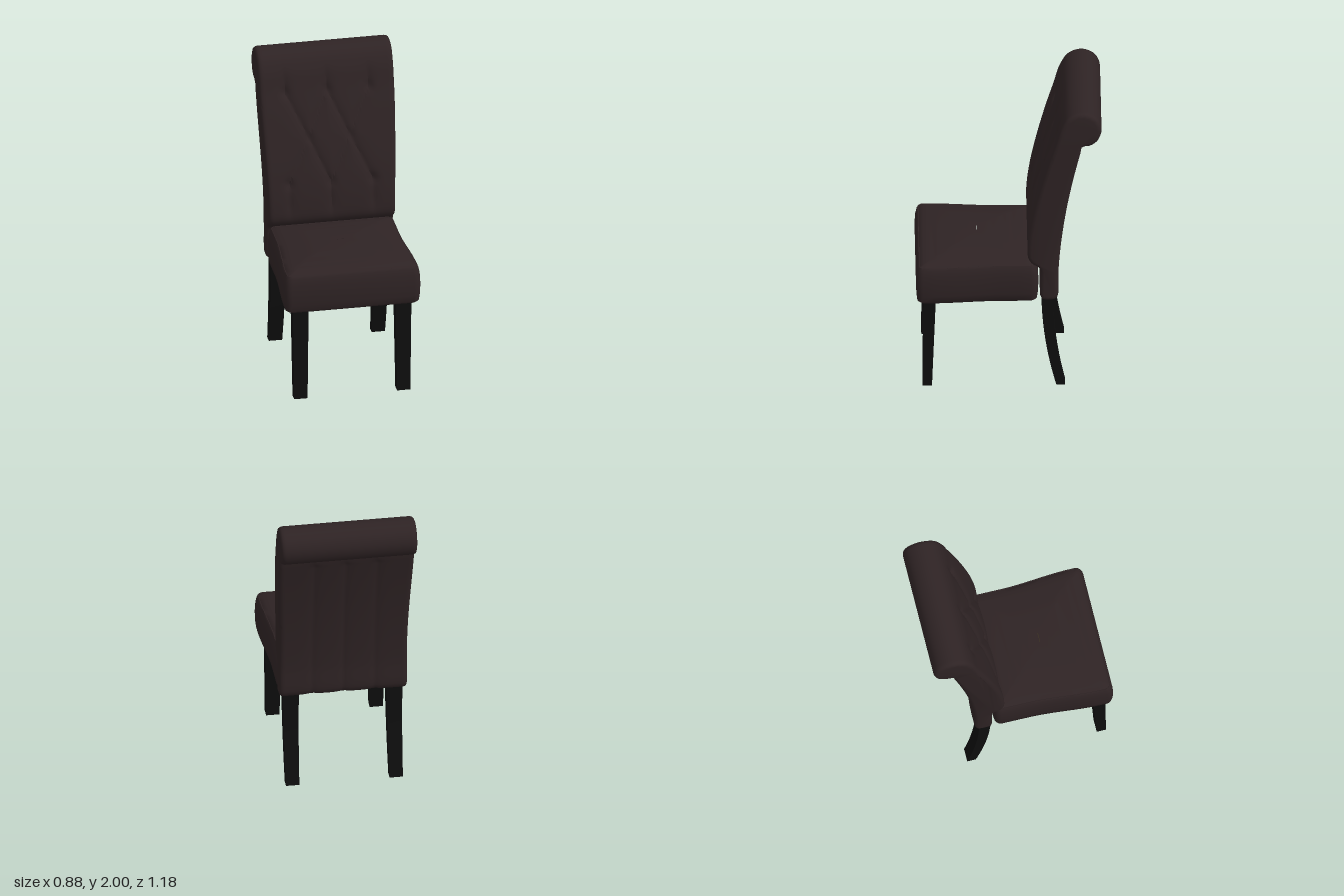
import * as THREE from 'three';
import { toCreasedNormals } from 'three/addons/utils/BufferGeometryUtils.js';

const { lerp, smoothstep } = THREE.MathUtils;
const V = (x, y, z) => new THREE.Vector3(x, y, z);

// Skin closed rings of equal length; optional flat end caps, given as [z, y] outlines.
function loft(rings, capOutlines) {
  const n = rings[0].length, pos = [], idx = [];
  rings.forEach(r => r.forEach(p => pos.push(p.x, p.y, p.z)));
  for (let i = 0; i < rings.length - 1; i++) {
    for (let j = 0; j < n; j++) {
      const a = i * n + j, b = i * n + (j + 1) % n;
      idx.push(a, b, b + n, a, b + n, a + n);
    }
  }
  if (capOutlines) {
    const last = (rings.length - 1) * n;
    const flat = rings[0].map(p => new THREE.Vector2(-p.z, p.y));
    for (const [a, b, c] of THREE.ShapeUtils.triangulateShape(flat, [])) {
      idx.push(last + a, last + b, last + c, a, c, b);
    }
  }
  const g = new THREE.BufferGeometry();
  g.setAttribute('position', new THREE.Float32BufferAttribute(pos, 3));
  g.setIndex(idx);
  return toCreasedNormals(g, 0.7);
}

// Seat plan outline, inset by d: a rounded trapezoid, wider at the front.
function seatRing(d, y) {
  const r = Math.max(0.045 - d * 0.5, 0.003), z0 = -0.19 + d, z1 = 0.587 - d;
  const half = z => Math.max(0.412 + 0.028 * smoothstep(z, 0.05, 0.5) - d, 0.004);
  const plan = [];
  const corner = (sx, zc, start) => {
    for (let k = 0; k <= 5; k++) {
      const a = start + (k / 5) * Math.PI / 2;
      plan.push([sx, Math.cos(a), zc - r * Math.sin(a)]);
    }
  };
  const side = (sx, from, to) => {
    for (let k = 1; k < 10; k++) plan.push([sx, sx, lerp(from, to, k / 10)]);
  };
  side(1, z1 - r, z0 + r);
  corner(1, z0 + r, 0);
  corner(-1, z0 + r, Math.PI / 2);
  side(-1, z0 + r, z1 - r);
  corner(-1, z1 - r, Math.PI);
  corner(1, z1 - r, Math.PI * 1.5);
  return plan.map(([sx, c, z]) => {
    const h = half(z), rr = Math.min(r, h);
    return V(sx * (h - rr) + rr * c, y, z);
  });
}

// Backrest side profile as [z, y], from the scroll over the front and up the back.
const PROFILE = [
  [-0.48, 2.0], [-0.39, 1.972], [-0.335, 1.89], [-0.295, 1.76], [-0.245, 1.6], [-0.19, 1.4],
  [-0.145, 1.2], [-0.122, 1.02], [-0.125, 0.93], [-0.15, 0.89], [-0.195, 0.86], [-0.2, 0.75],
  [-0.202, 0.655], [-0.215, 0.635], [-0.295, 0.635], [-0.312, 0.655], [-0.318, 0.85],
  [-0.335, 1.05], [-0.37, 1.3], [-0.415, 1.53], [-0.455, 1.7], [-0.47, 1.757], [-0.51, 1.762],
  [-0.565, 1.8], [-0.59, 1.88], [-0.56, 1.96],
];

// Tufting: button points and the creases joining them.
const BUTTONS = [];
for (const x of [-0.27, 0, 0.27]) BUTTONS.push([x, 1.75], [x, 1.17]);
BUTTONS.push([-0.133, 1.46], [0.133, 1.46]);
const CREASES = [];
for (const s of [-1, 1]) {
  for (const x of [0, 0.27]) {
    for (const y of [1.17, 1.75]) CREASES.push([s * x, y, s * 0.133, 1.46]);
  }
}
for (const x of [-0.27, 0, 0.27]) CREASES.push([x, 1.17, x, 0.85], [x, 1.75, x, 1.95]);

function tuftDepth(x, y) {
  let near = 1;
  for (const [ax, ay, bx, by] of CREASES) {
    const dx = bx - ax, dy = by - ay;
    const t = THREE.MathUtils.clamp(((x - ax) * dx + (y - ay) * dy) / (dx * dx + dy * dy), 0, 1);
    near = Math.min(near, Math.hypot(x - ax - t * dx, y - ay - t * dy));
  }
  let depth = 0.017 * Math.exp(-near / 0.03);
  for (const [bx, by] of BUTTONS) {
    depth += 0.014 * Math.exp(-((x - bx) ** 2 + (y - by) ** 2) / 0.0008);
  }
  return depth * smoothstep(y, 0.9, 1.05) * (1 - smoothstep(y, 1.78, 1.93));
}

function backrestGeometry() {
  const curve = new THREE.CatmullRomCurve3(PROFILE.map(([z, y]) => V(0, y, z)), true, 'centripetal');
  const N = 140, outline = [];
  for (let i = 0; i < N; i++) {
    const p = curve.getPointAt(i / N), t = curve.getTangentAt(i / N);
    outline.push({ y: p.y, z: p.z, ny: t.z, nz: -t.y });
  }
  const halfWidth = y => 0.41 + 0.026 * smoothstep(y, 0.95, 1.8);
  const rings = [];
  const edge = (s, inset, back) => rings.push(outline.map(o =>
    V(s * (halfWidth(o.y) - back), o.y - o.ny * inset, o.z - o.nz * inset)));

  edge(-1, 0.024, 0);
  edge(-1, 0.01, 0.005);
  edge(-1, 0.003, 0.014);
  const COLS = 64;
  for (let c = 0; c <= COLS; c++) {
    const u = c / COLS * 2 - 1;
    rings.push(outline.map(o => {
      const x = u * (halfWidth(o.y) - 0.027);
      let d = 0;
      if (o.nz > 0.4) d = tuftDepth(x, o.y);
      else if (o.nz < -0.4 && o.y < 1.7) {
        for (const seam of [-0.2, 0, 0.2]) d += 0.01 * Math.exp(-Math.abs(x - seam) / 0.03);
      }
      return V(x, o.y - o.ny * d, o.z - o.nz * d);
    }));
  }
  edge(1, 0.003, 0.014);
  edge(1, 0.01, 0.005);
  edge(1, 0.024, 0);
  return loft(rings, true);
}

function seatGeometry() {
  const rings = [
    [0.065, 0.65], [0.06, 0.625], [0.025, 0.62], [0.009, 0.635], [0.003, 0.68], [0, 0.75],
    [0.004, 0.82], [0.013, 0.862], [0.02, 0.876], [0.024, 0.874],
  ].map(([d, y]) => seatRing(d, y));
  // Domed top
  for (let k = 1; k <= 14; k++) {
    const t = k / 14;
    rings.push(seatRing(lerp(0.024, 0.387, t), 0.88 + 0.052 * (1 - (1 - t) ** 2)));
  }
  return loft(rings);
}

// Square leg: a box whose slices follow rule(t) => [x, z, half x, half z], t = 0 at the floor.
function legGeometry(height, rule) {
  const g = new THREE.BoxGeometry(2, 1, 2, 1, 12, 1), p = g.attributes.position;
  for (let i = 0; i < p.count; i++) {
    const t = p.getY(i) + 0.5, [x, z, hx, hz] = rule(t);
    p.setXYZ(i, x + p.getX(i) * hx, t * height, z + p.getZ(i) * hz);
  }
  return toCreasedNormals(g, 0.5);
}

export function createModel() {
  const mat = (name, color, side = THREE.FrontSide) => {
    const m = new THREE.MeshStandardMaterial({ color, side });
    m.name = name;
    return m;
  };
  const upholstery = mat('dark brown upholstery', 0x2e2324);
  const wood = mat('black wood', 0x0e0e0e);
  const lining = mat('olive lining', 0x3c321e, THREE.DoubleSide);

  const chair = new THREE.Group();
  chair.name = 'chair';
  const add = (name, geometry, material) => {
    const m = new THREE.Mesh(geometry, material);
    m.name = name;
    chair.add(m);
    return m;
  };

  add('backrest', backrestGeometry(), upholstery);
  add('seat', seatGeometry(), upholstery);

  // Recessed lining under the seat
  const liningShape = new THREE.Shape(seatRing(0.06, 0).map(p => new THREE.Vector2(p.x, p.z)));
  const panel = add('seatLining', new THREE.ShapeGeometry(liningShape), lining);
  panel.rotation.x = Math.PI / 2;
  panel.position.y = 0.638;

  // Tapered front legs and curved rear legs
  for (const [side, s] of [['Left', 1], ['Right', -1]]) {
    add('frontLeg' + side, legGeometry(0.65, t =>
      [s * 0.332, lerp(0.515, 0.5, t), lerp(0.043, 0.051, t), lerp(0.03, 0.04, t)]), wood);
    add('rearLeg' + side, legGeometry(0.65, t =>
      [s * 0.332, -0.247 - 0.085 * (1 - t) ** 2, lerp(0.043, 0.051, t), lerp(0.028, 0.038, t)]), wood);
  }
  return chair;
}
